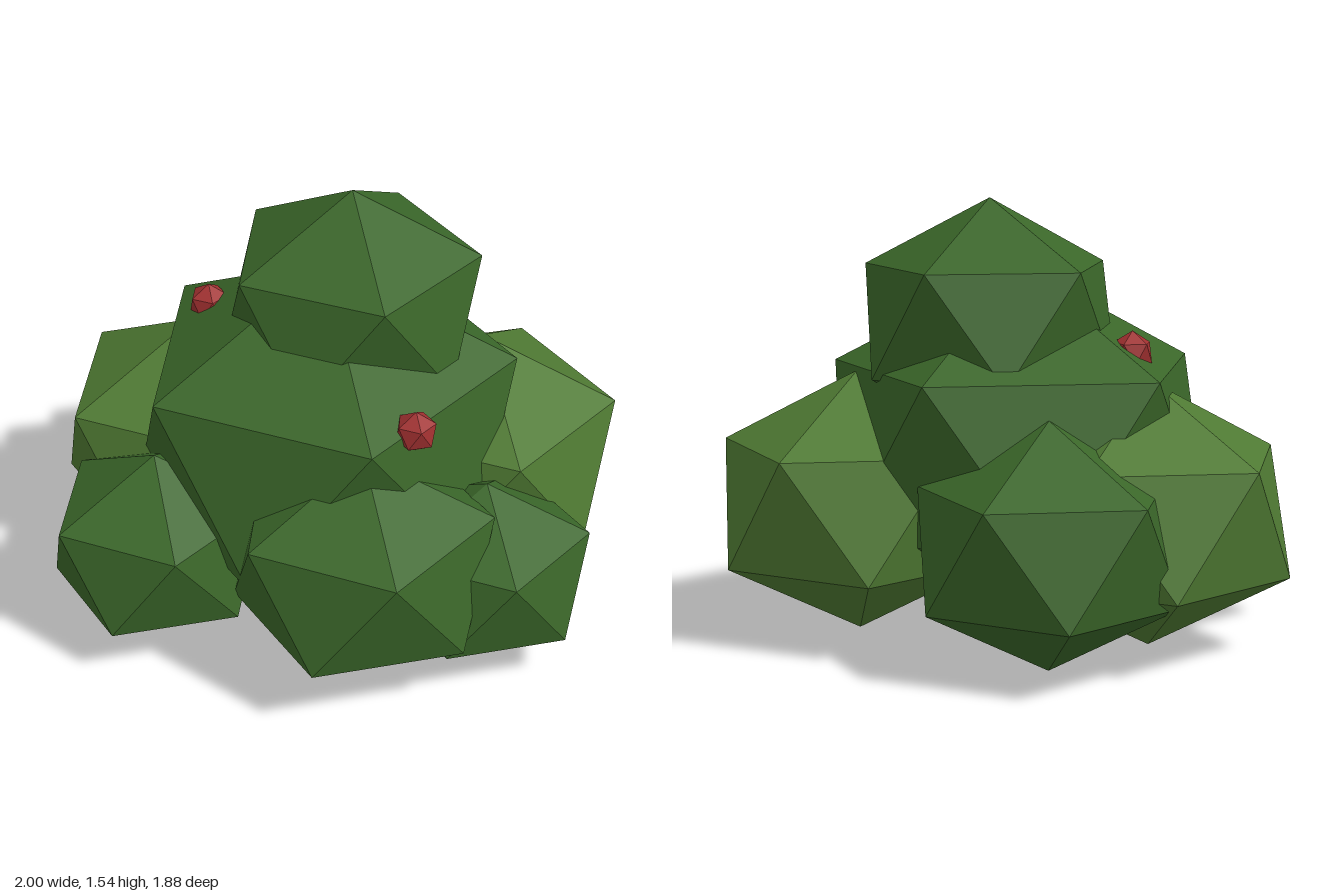
import * as THREE from 'three';

// Icosahedron with a vertex straight up and an upper-ring vertex toward +x
function icosphere() {
  const geometry = new THREE.IcosahedronGeometry(1, 0);
  geometry.rotateX(-Math.atan((1 + Math.sqrt(5)) / 2));
  geometry.rotateY(Math.PI / 2);
  return geometry;
}

export function createModel() {
  const bush = new THREE.Group();
  bush.name = 'berryBush';

  const material = (color) => new THREE.MeshStandardMaterial({ color, flatShading: true });
  const leaf = material(0x3a6629);
  const lightLeaf = material(0x4f7a33);
  const berry = material(0xa03030);
  const geometry = icosphere();

  function addBall(name, mat, [x, y, z], radius, squash) {
    const mesh = new THREE.Mesh(geometry, mat);
    mesh.name = name;
    mesh.position.set(x, y, z);
    mesh.scale.set(radius, radius * squash, radius);
    bush.add(mesh);
  }

  // Foliage clumps, slightly flattened
  const clumps = [
    ['coreFoliage', leaf, [-0.03, 0.68, 0.015], 0.748],
    ['topFoliage', leaf, [0.06, 1.13, -0.07], 0.495],
    ['leftFoliage', lightLeaf, [0.515, 0.49, -0.15], 0.542],
    ['rightFoliage', lightLeaf, [-0.517, 0.485, -0.185], 0.54],
    ['frontFoliage', leaf, [0.14, 0.462, 0.515], 0.495],
    ['backFoliage', leaf, [-0.225, 0.43, -0.52], 0.495],
    ['frontRightFoliage', leaf, [-0.588, 0.365, 0.345], 0.418],
    ['frontLeftFoliage', leaf, [0.553, 0.35, 0.38], 0.4],
  ];
  for (const [name, mat, position, radius] of clumps) addBall(name, mat, position, radius, 0.85);

  // Berries
  addBall('frontBerry', berry, [0.31, 0.967, 0.485], 0.075, 1);
  addBall('sideBerry', berry, [-0.45, 1.035, -0.155], 0.075, 1);

  return bush;
}
